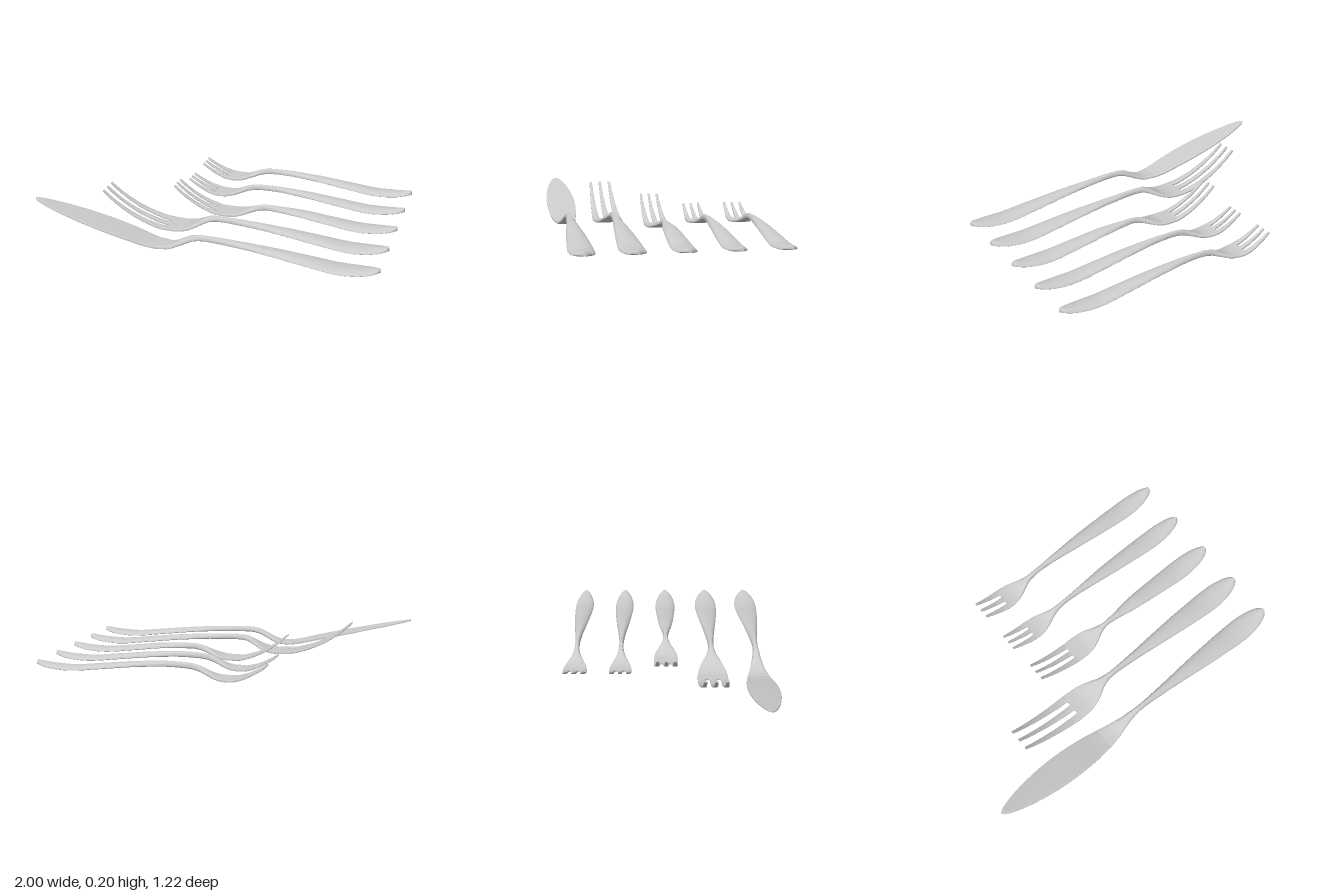
import * as THREE from 'three';
import { toCreasedNormals } from 'three/addons/utils/BufferGeometryUtils.js';

const material = new THREE.MeshStandardMaterial({ color: 0xcccccc });
const SIDES = 28;
const { lerp, smoothstep } = THREE.MathUtils;

// Smooth curve through [x, value] points that never overshoots them
function curve(pts) {
  const slope = i => (pts[i + 1][1] - pts[i][1]) / (pts[i + 1][0] - pts[i][0]);
  const last = pts.length - 1;
  const tangents = pts.map((_, i) => {
    if (i === 0) return slope(0);
    if (i === last) return slope(last - 1);
    const a = slope(i - 1), b = slope(i);
    return a * b <= 0 ? 0 : (2 * a * b) / (a + b);
  });
  return x => {
    let i = 0;
    while (i < last - 1 && x > pts[i + 1][0]) i++;
    const h = pts[i + 1][0] - pts[i][0];
    const u = Math.min(1, Math.max(0, (x - pts[i][0]) / h)), v = 1 - u;
    return v * v * (1 + 2 * u) * pts[i][1] + u * u * (1 + 2 * v) * pts[i + 1][1]
      + h * u * v * (v * tangents[i] - u * tangents[i + 1]);
  };
}

// Skin cross-sections along ascending x; edges(x) gives the [low, high] z limits
function loft(name, xs, s, edges) {
  const pos = [], idx = [];
  for (const x of xs) {
    const [z0, z1] = edges(x);
    const half = Math.max((z1 - z0) / 2, 0.001), mid = (z0 + z1) / 2;
    const t = s.thick(x), flat = s.flat(x);
    const power = 1 - 0.75 * flat;       // 1 = domed handle, small = flat sheet
    const low = 0.5 * (1 - flat);        // widest line sits low on the handle
    const dy = (s.height(x + 0.004) - s.height(x - 0.004)) / 0.008;
    const len = Math.hypot(1, dy);
    for (let j = 0; j < SIDES; j++) {
      const a = (j / SIDES) * Math.PI * 2, c = Math.cos(a), n = Math.sin(a);
      const bulge = Math.sign(n) * Math.abs(n) ** power;
      const v = t * (-low + (n > 0 ? 1 + low : 1 - low) * bulge);
      pos.push(x - (v * dy) / len, s.height(x) + v / len,
        mid + half * Math.sign(c) * Math.abs(c) ** power);
    }
  }
  const end = (xs.length - 1) * SIDES;
  for (let i = 0; i < end; i += SIDES) {
    for (let j = 0; j < SIDES; j++) {
      const a = i + j, b = i + ((j + 1) % SIDES);
      idx.push(a, a + SIDES, b, b, a + SIDES, b + SIDES);
    }
  }
  for (let j = 1; j < SIDES - 1; j++) {
    idx.push(0, j, j + 1, end, end + j + 1, end + j);
  }
  const geo = new THREE.BufferGeometry();
  geo.setAttribute('position', new THREE.Float32BufferAttribute(pos, 3));
  geo.setIndex(idx);
  const mesh = new THREE.Mesh(toCreasedNormals(geo, 0.7), material);
  mesh.name = name;
  return mesh;
}

// Stations packed closer towards the high-x end
const stations = (a, b, n) =>
  Array.from({ length: n + 1 }, (_, i) => a + (b - a) * (1 - (1 - i / n) ** 2));

// Shared description: head points plus a common handle
function utensil({ head, rise, sheetEnd, neck, grip }) {
  const tip = head[0][0];
  const width = curve([...head, [0.4, grip * 0.64], [0.6, grip * 0.87], [0.79, grip], [1, grip]]);
  return {
    tip,
    height: curve([...rise, [0.4, 0.062], [0.6, 0.04], [0.8, 0.021], [0.9, 0.026], [1.01, 0.044]]),
    thick: curve([[tip, 0.005], [sheetEnd, 0.007], [neck, 0.017], [0.4, 0.015], [1, 0.013]]),
    flat: x => 1 - smoothstep(x, sheetEnd, neck),
    // rounded handle end
    half: x => width(x) * (x > 0.8 ? Math.sqrt(Math.max(0, 1 - ((x - 0.8) / 0.2) ** 2)) : 1),
  };
}

function knife(spec) {
  const s = utensil(spec), group = new THREE.Group();
  const both = x => [-s.half(x), s.half(x)];
  const blade = stations(0, 1, 36).map(u => s.tip + (spec.sheetEnd - s.tip) * (1 - u)).reverse();
  group.add(loft('blade', blade, s, both));
  group.add(loft('handle', stations(spec.sheetEnd, 1, 70), s, both));
  return group;
}

function fork(spec) {
  const s = utensil(spec), group = new THREE.Group(), { slot } = spec;
  const wBase = s.half(slot), wTip = s.half(s.tip);
  group.add(loft('handle', stations(slot, 1, 80), s, x => [-s.half(x), s.half(x)]));

  // slot between the middle and outer tines, round at its base
  const slotEdges = x => {
    const u = (slot - x) / (slot - s.tip);
    const inner = lerp(wBase * 0.22, wTip * 0.12, u);
    const outer = lerp(wBase * 0.51, wTip * 0.77, u);
    const d = Math.min(1, (slot - x) / (wBase * 0.15));
    const open = ((outer - inner) / 2) * Math.sqrt(Math.max(0, 1 - (1 - d) ** 2));
    const c = (inner + outer) / 2;
    return [c - open, c + open];
  };
  const xs = stations(s.tip, slot, 40);
  group.add(loft('middleTine', xs, s, x => [-slotEdges(x)[0], slotEdges(x)[0]]));
  group.add(loft('frontTine', xs, s, x => [slotEdges(x)[1], s.half(x)]));
  group.add(loft('backTine', xs, s, x => [-s.half(x), -slotEdges(x)[1]]));
  return group;
}

export function createModel() {
  const model = new THREE.Group();
  model.name = 'cutlerySet';
  const place = (part, name, z) => {
    part.name = name;
    part.position.z = z;
    model.add(part);
  };

  place(knife({
    head: [[-1, 0], [-0.985, 0.016], [-0.95, 0.031], [-0.9, 0.046], [-0.8, 0.067], [-0.65, 0.084],
      [-0.54, 0.088], [-0.4, 0.082], [-0.28, 0.068], [-0.18, 0.048], [-0.08, 0.025], [0.01, 0.016], [0.2, 0.027]],
    rise: [[-1, 0.187], [-0.48, 0.065], [-0.4, 0.045], [-0.32, 0.024], [-0.25, 0.012], [-0.2, 0.012],
      [-0.15, 0.024], [-0.09, 0.055], [-0.03, 0.079], [0.02, 0.083], [0.2, 0.077]],
    sheetEnd: -0.26, neck: -0.03, grip: 0.07,
  }), 'knife', 0.522);

  place(fork({
    head: [[-0.67, 0.067], [-0.4, 0.083], [-0.28, 0.088], [-0.2, 0.084], [-0.15, 0.072],
      [-0.1, 0.05], [-0.05, 0.026], [0.02, 0.016], [0.2, 0.026]],
    rise: [[-0.67, 0.193], [-0.6, 0.137], [-0.5, 0.077], [-0.4, 0.036], [-0.3, 0.013], [-0.22, 0.01],
      [-0.15, 0.022], [-0.08, 0.056], [-0.03, 0.078], [0.03, 0.083], [0.2, 0.077]],
    sheetEnd: -0.2, neck: 0, slot: -0.28, grip: 0.069,
  }), 'dinnerFork', 0.258);

  place(fork({
    head: [[-0.335, 0.056], [-0.15, 0.067], [-0.03, 0.072], [0.04, 0.068], [0.09, 0.052],
      [0.14, 0.027], [0.2, 0.014], [0.26, 0.019]],
    rise: [[-0.335, 0.153], [-0.27, 0.102], [-0.2, 0.06], [-0.12, 0.026], [-0.05, 0.01], [0.02, 0.01],
      [0.09, 0.026], [0.16, 0.053], [0.23, 0.067]],
    sheetEnd: 0.02, neck: 0.19, slot: -0.07, grip: 0.063,
  }), 'saladFork', -0.01);

  // two short forks, the rear one slightly wider
  const smallFork = k => fork({
    head: [[-0.335, 0.056], [-0.25, 0.064], [-0.17, 0.07], [-0.12, 0.067], [-0.07, 0.053],
      [-0.02, 0.032], [0.03, 0.017], [0.1, 0.014], [0.2, 0.02]].map(([x, w]) => [x, w * k]),
    rise: [[-0.335, 0.088], [-0.28, 0.055], [-0.2, 0.02], [-0.14, 0.009], [-0.08, 0.012],
      [-0.02, 0.032], [0.04, 0.058], [0.1, 0.07], [0.2, 0.073]],
    sheetEnd: -0.1, neck: 0.05, slot: -0.17, grip: 0.058,
  });
  place(smallFork(0.93), 'dessertFork', -0.277);
  place(smallFork(1), 'fishFork', -0.542);

  return model;
}
